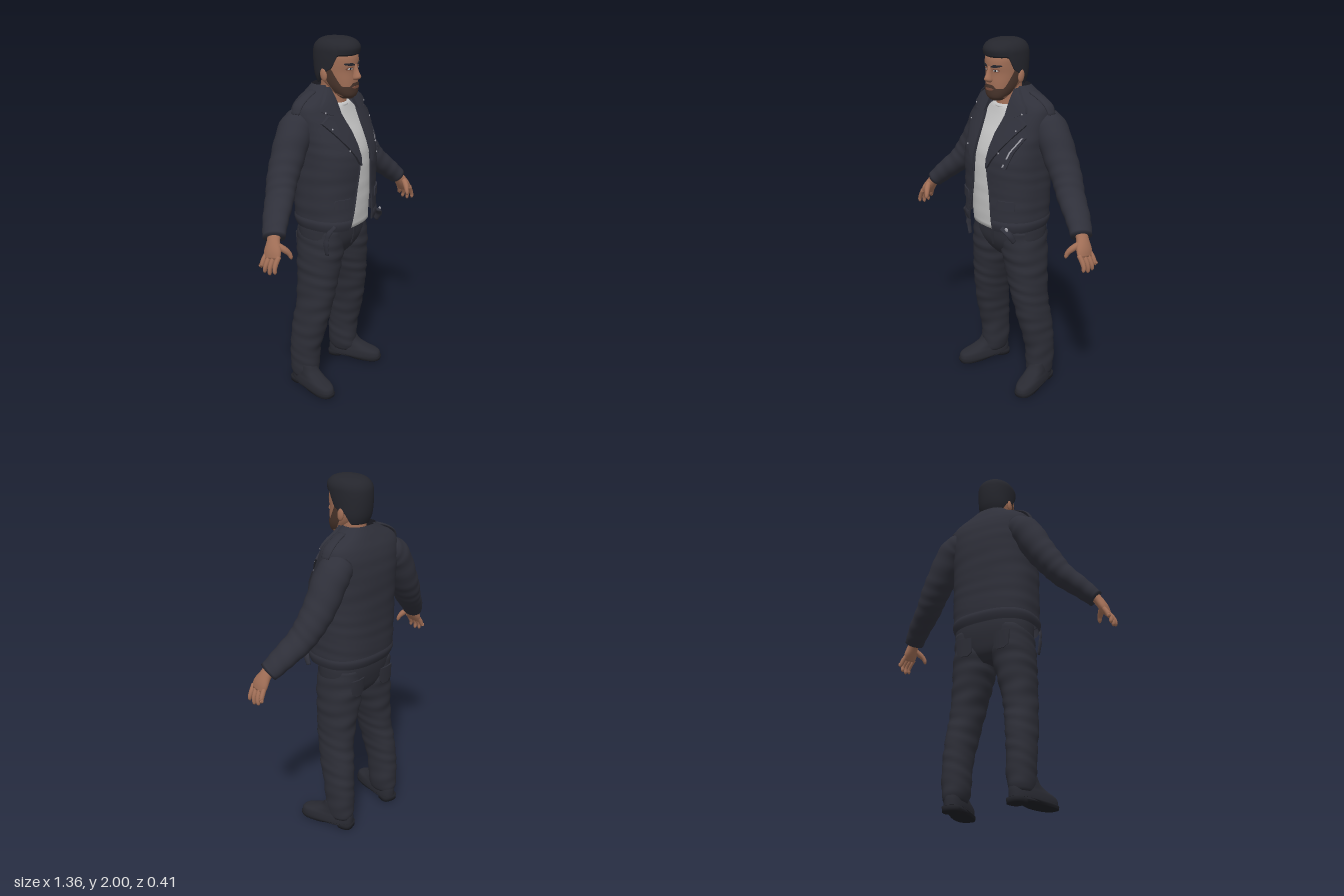
import * as THREE from 'three';
import { toCreasedNormals } from 'three/addons/utils/BufferGeometryUtils.js';

const mat = (name, color, side = THREE.FrontSide) => {
  const m = new THREE.MeshStandardMaterial({ color, side });
  m.name = name;
  return m;
};
const V = (x, y, z) => new THREE.Vector3(x, y, z);
const lerp = THREE.MathUtils.lerp, step = THREE.MathUtils.smoothstep;

// Cross-section rows are [y, zFront, zBack, halfWidth, centreX]; smooth lookup by height.
function at(rows, y) {
  const last = rows.length - 1;
  y = THREE.MathUtils.clamp(y, rows[0][0], rows[last][0]);
  let i = 0;
  while (i < last - 1 && y > rows[i + 1][0]) i++;
  const h = rows[i + 1][0] - rows[i][0], t = (y - rows[i][0]) / h;
  const slope = (k, c) => {
    const a = rows[Math.max(k - 1, 0)], b = rows[Math.min(k + 1, last)];
    return (b[c] - a[c]) / (b[0] - a[0]) * h;
  };
  return [1, 2, 3, 4].map(c => {
    if (rows[0][c] === undefined) return 0;
    const p = rows[i][c], q = rows[i + 1][c], m = slope(i, c), n = slope(i + 1, c), t2 = t * t, t3 = t2 * t;
    return p * (2 * t3 - 3 * t2 + 1) + m * (t3 - 2 * t2 + t) + q * (3 * t2 - 2 * t3) + n * (t3 - t2);
  });
}

// Front surface depth of a lofted form
function frontZ(rows, n, x, y) {
  const [zf, zb, hw, cx] = at(rows, y);
  const k = Math.min(Math.abs((x - cx) / hw), 0.995);
  return (zf + zb) / 2 + (zf - zb) / 2 * Math.pow(1 - k ** n, 1 / n);
}

// Joins rings of points into a surface
function skin(rings, closed = true, caps = closed) {
  const n = rings[0].length, pos = [], idx = [];
  rings.forEach(r => r.forEach(p => pos.push(p.x, p.y, p.z)));
  for (let i = 0; i < rings.length - 1; i++)
    for (let j = 0; j < (closed ? n : n - 1); j++) {
      const k = (j + 1) % n, a = i * n + j, b = i * n + k;
      idx.push(a, b, b + n, a, b + n, a + n);
    }
  if (caps) [0, rings.length - 1].forEach((r, top) => {
    const c = rings[r].reduce((s, p) => s.add(p), V(0, 0, 0)).divideScalar(n), id = pos.length / 3;
    pos.push(c.x, c.y, c.z);
    for (let j = 0; j < n; j++) {
      const a = r * n + j, b = r * n + (j + 1) % n;
      top ? idx.push(id, a, b) : idx.push(id, b, a);
    }
  });
  const g = new THREE.BufferGeometry();
  g.setAttribute('position', new THREE.Float32BufferAttribute(pos, 3));
  g.setIndex(idx);
  g.computeVertexNormals();
  return g;
}

// Upright form from horizontal superellipse rows
function loft(rows, { n = 2, seg = 40, steps = 32, lo, hi, arc, fold = 0 } = {}) {
  const y0 = rows[0][0], y1 = rows[rows.length - 1][0], rings = [];
  for (let i = 0; i <= steps; i++) {
    const v = i / steps, [a0, a1] = arc ? arc(lerp(y0, y1, v)) : [0, Math.PI * 2], ring = [];
    for (let j = 0; j < seg; j++) {
      const a = lerp(a0, a1, j / (arc ? seg - 1 : seg));
      const y = lerp(lo ? lo(a) : y0, hi ? hi(a) : y1, v), [zf, zb, hw, cx] = at(rows, y);
      const s = Math.sin(a), c = Math.cos(a), e = 2 / n;
      const f = 1 + fold * Math.sin(y * 75 + 2.5 * Math.sin(a + y * 9)) * Math.sin(y * 17 + a);
      ring.push(V(cx + f * hw * Math.sign(s) * Math.abs(s) ** e, y,
        (zf + zb) / 2 + f * (zf - zb) / 2 * Math.sign(c) * Math.abs(c) ** e));
    }
    rings.push(ring);
  }
  return skin(rings, !arc);
}

// Limb along points [x, y, z, thickness, width], mirrored by s
function limb(pts, s = 1, { seg = 14, steps = 12, fold = 0 } = {}) {
  const path = new THREE.CatmullRomCurve3(pts.map(p => V(p[0] * s, p[1], p[2])));
  const size = new THREE.CatmullRomCurve3(pts.map(p => V(p[3], p[4] ?? p[3], 0)));
  const rings = [];
  for (let i = 0; i <= steps; i++) {
    const p = path.getPoint(i / steps), r = size.getPoint(i / steps), t = path.getTangent(i / steps);
    const u = V(0, 0, 1).cross(t).normalize(), w = t.clone().cross(u);
    rings.push(Array.from({ length: seg }, (_, j) => {
      const a = j / seg * Math.PI * 2, f = 1 + fold * Math.sin(i * 1.3 + 2 * Math.sin(a));
      return p.clone().addScaledVector(u, r.x * f * Math.cos(a)).addScaledVector(w, r.y * f * Math.sin(a));
    }));
  }
  return skin(rings);
}

// Raised panel hugging a lofted front; edges are [y, xInner, xOuter]
function panel(rows, n, edges, s = 1, lift = 0.008, cols = 8) {
  const rings = edges.map(([y, p, q]) => {
    const a = Math.min(p * s, q * s), b = Math.max(p * s, q * s), ring = [];
    for (let k = 0; k <= cols; k++) { const x = lerp(a, b, k / cols); ring.push(V(x, y, frontZ(rows, n, x, y) + lift)); }
    for (let k = cols; k >= 0; k--) { const x = lerp(a, b, k / cols); ring.push(V(x, y, frontZ(rows, n, x, y) - 0.004)); }
    return ring;
  });
  return toCreasedNormals(skin(rings), 0.7);
}

export function createModel() {
  const root = new THREE.Group();
  const M = {
    leather: mat('leather', 0x2f303a, THREE.DoubleSide), trousers: mat('trousers', 0x2d2e37),
    boot: mat('boot', 0x292a32), sole: mat('sole', 0x1f2026), shirt: mat('shirt', 0xc4c4c4),
    skin: mat('skin', 0xa06e56), hair: mat('hair', 0x25262d, THREE.DoubleSide),
    beard: mat('beard', 0x4b362d, THREE.DoubleSide), metal: mat('metal', 0x9c9ca4), lip: mat('lip', 0x80503f)
  };
  const add = (name, geo, m, parent = root) => {
    const mesh = new THREE.Mesh(geo, m);
    mesh.name = name;
    parent.add(mesh);
    return mesh;
  };
  const ball = (name, m, x, y, z, sx, sy, sz) => {
    const b = add(name, new THREE.SphereGeometry(1, 16, 12), m);
    b.position.set(x, y, z);
    b.scale.set(sx, sy, sz);
    return b;
  };

  // Jacket body with an open front
  const N = 2.5;
  const coat = [[1.0, .185, -.178, .232], [1.05, .19, -.19, .24], [1.2, .187, -.195, .243], [1.39, .187, -.2, .243],
    [1.5, .145, -.2, .246], [1.58, .098, -.192, .25], [1.65, .06, -.175, .245], [1.69, .04, -.155, .205],
    [1.72, .025, -.14, .145], [1.755, .01, -.12, .095]];
  const opening = [[1.0, .085, .12, 0], [1.2, .065, .075, 0], [1.4, .05, .052, 0], [1.6, .075, .078, 0], [1.755, .08, .08, 0]];
  const arc = y => {
    const hw = at(coat, y)[2], [l, r] = at(opening, y);
    return [Math.asin(Math.min(l / hw, 1) ** (N / 2)), Math.PI * 2 - Math.asin(Math.min(r / hw, 1) ** (N / 2))];
  };
  add('jacketBody', loft(coat, { n: N, seg: 72, steps: 50, arc, fold: .008 }), M.leather);
  const hem = [1.0, 1.02, 1.045, 1.06].map((y, i) => { const [f, b, w] = at(coat, y), o = [.002, .006, .006, 0][i]; return [y, f + o, b - o, w + o]; });
  add('jacketWaistband', loft(hem, { n: N, seg: 72, steps: 6, arc }), M.leather);

  // Shirt under the jacket
  const tee = [[.99, .155, -.15, .2], [1.2, .165, -.16, .2], [1.4, .158, -.16, .2], [1.5, .125, -.16, .2], [1.58, .085, -.15, .19], [1.64, .064, -.12, .115], [1.66, .057, -.1, .085]];
  add('shirt', loft(tee, { n: 2.3, fold: .008 }), M.shirt);
  const band = add('shirtNeckband', new THREE.TorusGeometry(.075, .008, 8, 36), M.shirt);
  band.position.set(0, 1.655, -.018);
  band.rotation.x = Math.PI / 2 + .12;

  // Lapels, collar, pockets, epaulettes and studs
  for (const s of [1, -1]) {
    const edge = Array.from({ length: 14 }, (_, i) => {
      const y = 1.005 + i * .03, x = at(opening, y)[s > 0 ? 0 : 1] * s;
      return V(x, y, frontZ(coat, N, x, y));
    });
    add('frontZip', new THREE.TubeGeometry(new THREE.CatmullRomCurve3(edge), 30, .006, 6), M.leather);
    add('lapel', panel(coat, N, [[1.35, .05, .056], [1.4, .05, .085], [1.46, .052, .122], [1.53, .058, .17], [1.585, .07, .208], [1.615, .076, .165]], s, .015), M.leather);
    add('collar', panel(coat, N, [[1.61, .08, .12], [1.64, .077, .19], [1.665, .075, .18], [1.69, .074, .15], [1.72, .074, .115], [1.745, .074, .09]], s, .017), M.leather);
    add('sidePocket', panel(coat, N, [[1.13, .11, .2], [1.165, .11, .2], [1.18, .12, .195]], s, .007), M.leather);
    add('epaulette', limb([[.13, 1.727, -.055, .008, .024], [.19, 1.705, -.06, .009, .028], [.245, 1.67, -.065, .009, .03], [.268, 1.63, -.065, .006, .024]], s), M.leather);
    for (const [x, y] of [[.175, 1.635], [.172, 1.555], [.12, 1.44]])
      ball('stud', M.metal, x * s, y, frontZ(coat, N, x, y) + .015, .005, .005, .004);
  }
  add('chestZip', panel(coat, N, [[1.37, .14, .148], [1.45, .165, .173], [1.52, .2, .208]], 1, .004), M.metal).scale.z = .995;
  add('chestZipFlap', panel(coat, N, [[1.36, .15, .165], [1.45, .176, .19], [1.52, .21, .22]], 1, .01), M.leather);
  add('hangingStrap', limb([[-.2, 1.04, .13, .008, .016], [-.222, .98, .1, .006, .014], [-.222, .92, .09, .006, .014], [-.212, .865, .09, .005, .012]]), M.leather);
  add('beltEnd', limb([[.15, 1.035, .18, .008, .018], [.19, 1.0, .16, .012, .02], [.2, .955, .135, .008, .014]]), M.leather);
  ball('beltBuckle', M.metal, .18, 1.03, .172, .012, .012, .006);

  // Trousers
  const hips = [[.8, .05, -.1, .06], [.84, .085, -.135, .15], [.9, .112, -.155, .215], [.97, .118, -.168, .228], [1.05, .12, -.168, .222]];
  add('trouserHips', loft(hips, { n: 2.4 }), M.trousers);
  add('trouserFly', panel(hips, 2.4, [[.87, -.004, .006], [.92, -.004, .02], [.99, -.004, .022]], 1, .005), M.trousers);
  const leg = s => [[.06, -.01, -.16, .055, .195], [.1, .002, -.17, .065, .192], [.16, .004, -.172, .07, .19], [.25, .012, -.17, .072, .19], [.4, .05, -.16, .077, .18],
    [.5, .07, -.143, .082, .168], [.6, .087, -.14, .089, .155], [.8, .105, -.15, .113, .125], [.88, .11, -.155, .113, .118], [.98, .1, -.15, .1, .12]].map(r => [...r.slice(0, 4), r[4] * s]);
  for (const s of [1, -1]) {
    add('trouserLeg', loft(leg(s), { n: 2.2, steps: 64, fold: .035 }), M.trousers);
    add('backPocket', panel([[.8, .153, -.1, .118, -.12 * s], [.95, .166, -.1, .118, -.11 * s]], 2.3, [[.83, .09, .13], [.85, .07, .16], [.93, .065, .165]], -s, .003).rotateY(Math.PI), M.trousers);

    // Boots, turned outward
    const boot = new THREE.Group();
    boot.name = 'boot';
    boot.position.set(.198 * s, 0, -.085);
    boot.rotation.y = .25 * s;
    root.add(boot);
    add('bootUpper', loft([[.018, .238, -.085, .056], [.04, .24, -.086, .058], [.065, .225, -.086, .056], [.085, .165, -.083, .052], [.11, .11, -.08, .051], [.15, .08, -.075, .05]], { n: 2.6 }), M.boot, boot);
    add('bootSole', loft([[.008, .24, .04, .054], [.024, .245, -.04, .06], [.03, .242, -.088, .058]], { n: 2.6, steps: 6 }), M.sole, boot);
    add('bootHeel', loft([[0, .0, -.088, .048], [.028, .01, -.09, .05]], { n: 3, steps: 2 }), M.sole, boot);

    // Sleeves and hands
    add('sleeve', limb([[.17, 1.59, -.085, .075, .08], [.24, 1.535, -.087, .09, .094], [.325, 1.395, -.082, .083, .09], [.385, 1.305, -.068, .075, .083],
      [.435, 1.235, -.045, .066, .078], [.52, 1.155, -.005, .056, .07], [.588, 1.085, .035, .046, .06]], s, { seg: 28, steps: 44, fold: .022 }), M.leather);
    add('palm', limb([[.575, 1.11, .03, .026, .034], [.6, 1.075, .042, .026, .036], [.625, 1.03, .055, .024, .05], [.64, .995, .062, .016, .048]], s, { seg: 20 }), M.skin);
    [[.018, .008, .95], [.044, .036, .925], [.07, .067, .92], [.097, .1, .932]].forEach(([z, tip, y]) =>
      add('finger', limb([[.632, 1.015, z + .004, .012], [.652, .985, z, .013], [.666, .955, (z + tip) / 2, .011], [.666, y + .01, tip, .01], [.664, y, tip, .004]], s), M.skin));
    add('thumb', limb([[.612, 1.065, .065, .016], [.59, 1.04, .098, .017], [.572, 1.015, .117, .013], [.567, .995, .124, .01], [.566, .985, .126, .004]], s), M.skin);
  }

  // Neck and head
  add('neck', loft([[1.6, .06, -.1, .08], [1.68, .052, -.09, .066], [1.8, .05, -.08, .064]], { steps: 10 }), M.skin);
  const face = [[1.69, .1, .035, .03], [1.705, .114, .01, .052], [1.74, .121, -.03, .072], [1.78, .122, -.075, .083], [1.83, .119, -.1, .089],
    [1.87, .124, -.105, .091], [1.91, .118, -.1, .091], [1.95, .09, -.08, .075], [1.975, .05, -.04, .03]];
  add('head', loft(face, { n: 2.2 }), M.skin);
  const turn = a => Math.abs(Math.atan2(Math.sin(a), Math.cos(a)));
  const grown = face.map(([y, f, b, w]) => [y - .002, f + .005, b - .004, w + .004]);
  add('beard', loft(grown, { n: 2.2, seg: 60, steps: 14, arc: () => [-1.75, 1.75], lo: a => 1.688 + .03 * step(turn(a), .8, 1.75),
    hi: a => 1.772 - .018 * step(turn(a), .2, .55) + .1 * step(turn(a), .95, 1.5) }), M.beard);
  add('chinUnderside', loft([[1.685, .1, .04, .03], [1.7, .112, .015, .05]], { steps: 4 }), M.beard);
  add('mouth', panel(grown, 2.2, [[1.742, -.018, .018], [1.748, -.03, .03], [1.754, -.018, .018]], 1, .003), M.lip);
  add('nose', loft([[1.785, .135, .1, .015], [1.795, .152, .1, .02], [1.805, .155, .1, .018], [1.83, .142, .1, .012], [1.865, .127, .1, .01]], { seg: 20, steps: 14 }), M.skin);
  for (const s of [1, -1]) {
    ball('ear', M.skin, .094 * s, 1.81, -.012, .011, .034, .02).rotation.x = -.15;
    add('eyeSocket', panel(face, 2.2, [[1.838, .026, .05], [1.846, .02, .058], [1.854, .026, .052]], s, .002), M.lip);
    add('eyeWhite', panel(face, 2.2, [[1.841, .028, .046], [1.846, .024, .052], [1.85, .03, .046]], s, .003), M.shirt);
    add('iris', panel(face, 2.2, [[1.841, .034, .041], [1.85, .034, .041]], s, .004), M.hair);
    add('eyebrow', panel(face, 2.2, [[1.862, .016, .045], [1.868, .017, .066], [1.875, .03, .062]], s, .006), M.hair);
  }

  // Swept hair with a shaped hairline
  const hair = [[1.75, .04, -.094, .074], [1.8, .085, -.113, .092], [1.86, .115, -.122, .099], [1.92, .13, -.123, .102], [1.95, .134, -.117, .1],
    [1.975, .118, -.098, .086], [1.99, .09, -.07, .064], [1.998, .05, -.035, .032], [2.0, .015, -.005, .005]];
  add('hair', loft(hair, { n: 2.15, seg: 72, steps: 30, hi: () => 2, lo: a => {
    const t = turn(a);
    return 1.918 - .078 * step(t, 1.0, 1.3) - .02 * step(t, 1.3, 1.6) - .06 * step(t, 1.75, 2.1);
  } }), M.hair);
  return root;
}
